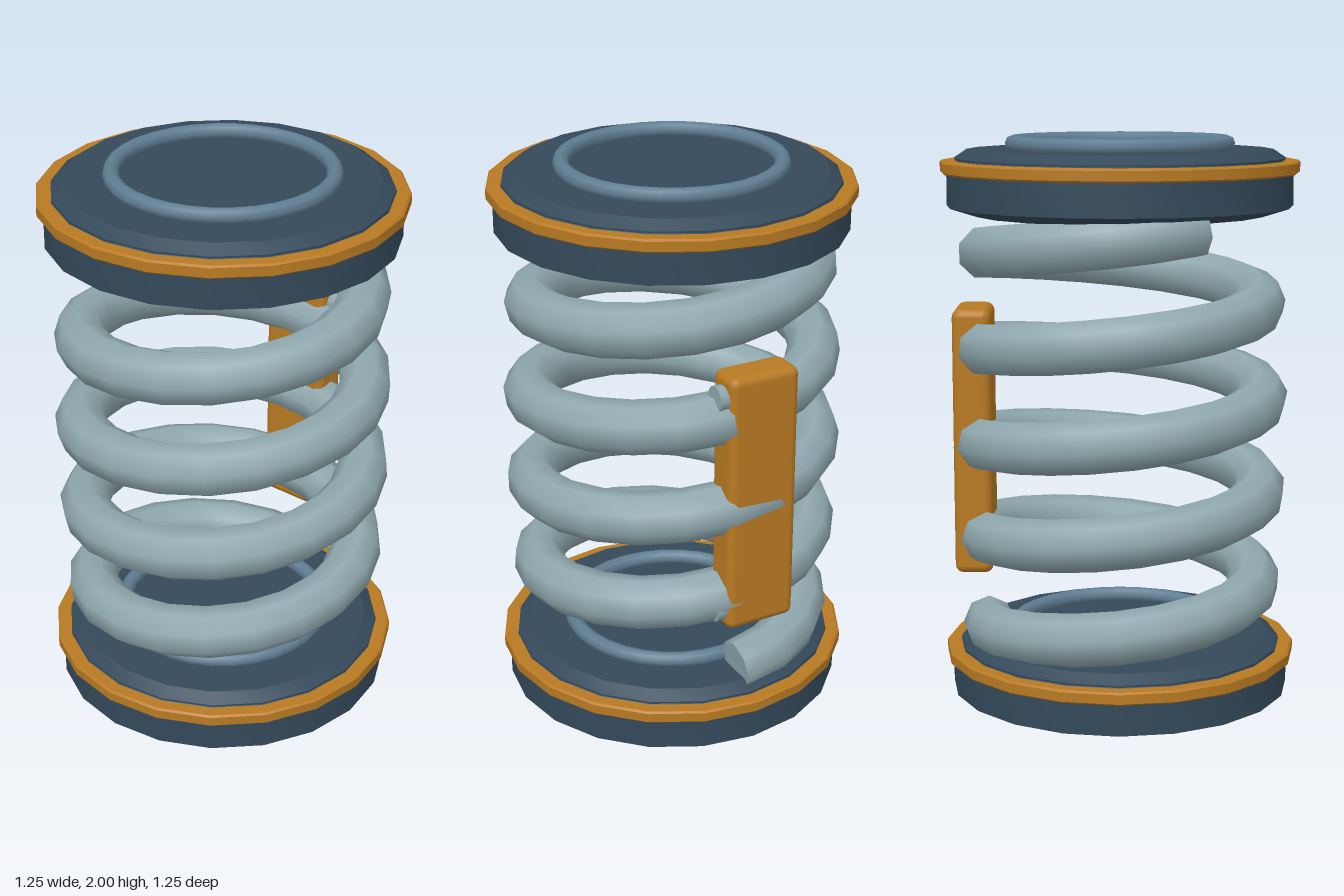
import * as THREE from 'three';
import { toCreasedNormals } from 'three/addons/utils/BufferGeometryUtils.js';
import { RoundedBoxGeometry } from 'three/addons/geometries/RoundedBoxGeometry.js';

const material = (name, color, side = THREE.FrontSide) => {
  const m = new THREE.MeshStandardMaterial({ color, side });
  m.name = name;
  return m;
};

// Coil centre line: rises while turning, swelling slightly in the middle
class CoilCurve extends THREE.Curve {
  getPoint(u, target = new THREE.Vector3()) {
    const turns = 4.34;
    const a = u * turns * Math.PI * 2;
    const r = 0.475 + 0.03 * Math.sin(Math.PI * u);
    return target.set(r * Math.cos(a), 0.25 + 0.335 * turns * u, -r * Math.sin(a));
  }
}

// Flat fan closing one ring of a tube
function ringCap(tube, ring, sides, centre) {
  const p = tube.attributes.position;
  const at = (j) => new THREE.Vector3().fromBufferAttribute(p, ring * (sides + 1) + j);
  const points = [];
  for (let j = 0; j < sides; j++) {
    points.push(centre, ...(ring === 0 ? [at(j), at(j + 1)] : [at(j + 1), at(j)]));
  }
  const g = new THREE.BufferGeometry().setFromPoints(points);
  g.computeVertexNormals();
  return g;
}

export function createModel() {
  const model = new THREE.Group();
  model.name = 'coilSpring';
  const dark = material('darkSlate', 0x34495a);
  const orange = material('amber', 0xb87a22);
  const blue = material('steelBlue', 0x5f7d92);
  const steel = material('paleSteel', 0x8fa8ae, THREE.DoubleSide);

  const add = (parent, name, geometry, mat, x = 0, y = 0, z = 0) => {
    const mesh = new THREE.Mesh(geometry, mat);
    mesh.name = name;
    mesh.position.set(x, y, z);
    parent.add(mesh);
    return mesh;
  };
  const lathe = (profile) => toCreasedNormals(
    new THREE.LatheGeometry(profile.map(([r, y]) => new THREE.Vector2(r, y)), 20), 0.5);

  // End plates: chamfered disc, amber band and raised ring
  const disc = lathe([[0, 0], [0.51, 0], [0.605, 0.03], [0.605, 0.16],
    [0.575, 0.19], [0.575, 0.197], [0.533, 0.225], [0, 0.225]]);
  const band = lathe([[0.59, 0.143], [0.62, 0.143], [0.627, 0.149],
    [0.627, 0.182], [0.62, 0.188], [0.56, 0.188]]);
  const ring = new THREE.TorusGeometry(0.372, 0.028, 8, 32).rotateX(Math.PI / 2);
  for (const [name, y] of [['bottomPlate', 0], ['topPlate', 1.727]]) {
    const plate = new THREE.Group();
    plate.name = name;
    plate.position.y = y;
    add(plate, 'plateDisc', disc, dark);
    add(plate, 'plateBand', band, orange);
    add(plate, 'raisedRing', ring, blue, 0, 0.245);
    model.add(plate);
  }

  // Coil with closed ends
  const curve = new CoilCurve();
  const segments = 90, sides = 8;
  const tube = new THREE.TubeGeometry(curve, segments, 0.092, sides, false);
  add(model, 'coil', tube, steel);
  add(model, 'coilLowerEnd', ringCap(tube, 0, sides, curve.getPoint(0)), steel);
  add(model, 'coilUpperEnd', ringCap(tube, segments, sides, curve.getPoint(1)), steel);

  // Clamp block on the side with two bolts
  const clamp = new THREE.Group();
  clamp.name = 'sideClamp';
  clamp.position.set(0.514, 0.94, -0.037);
  add(clamp, 'clampBlock', new RoundedBoxGeometry(0.134, 0.94, 0.26, 2, 0.03), orange);
  const bolt = new THREE.CylinderGeometry(0.045, 0.045, 0.05, 12).rotateX(Math.PI / 2);
  for (const y of [-0.4, 0.39]) add(clamp, 'bolt', bolt, steel, 0.005, y, 0.135);
  model.add(clamp);

  return model;
}
